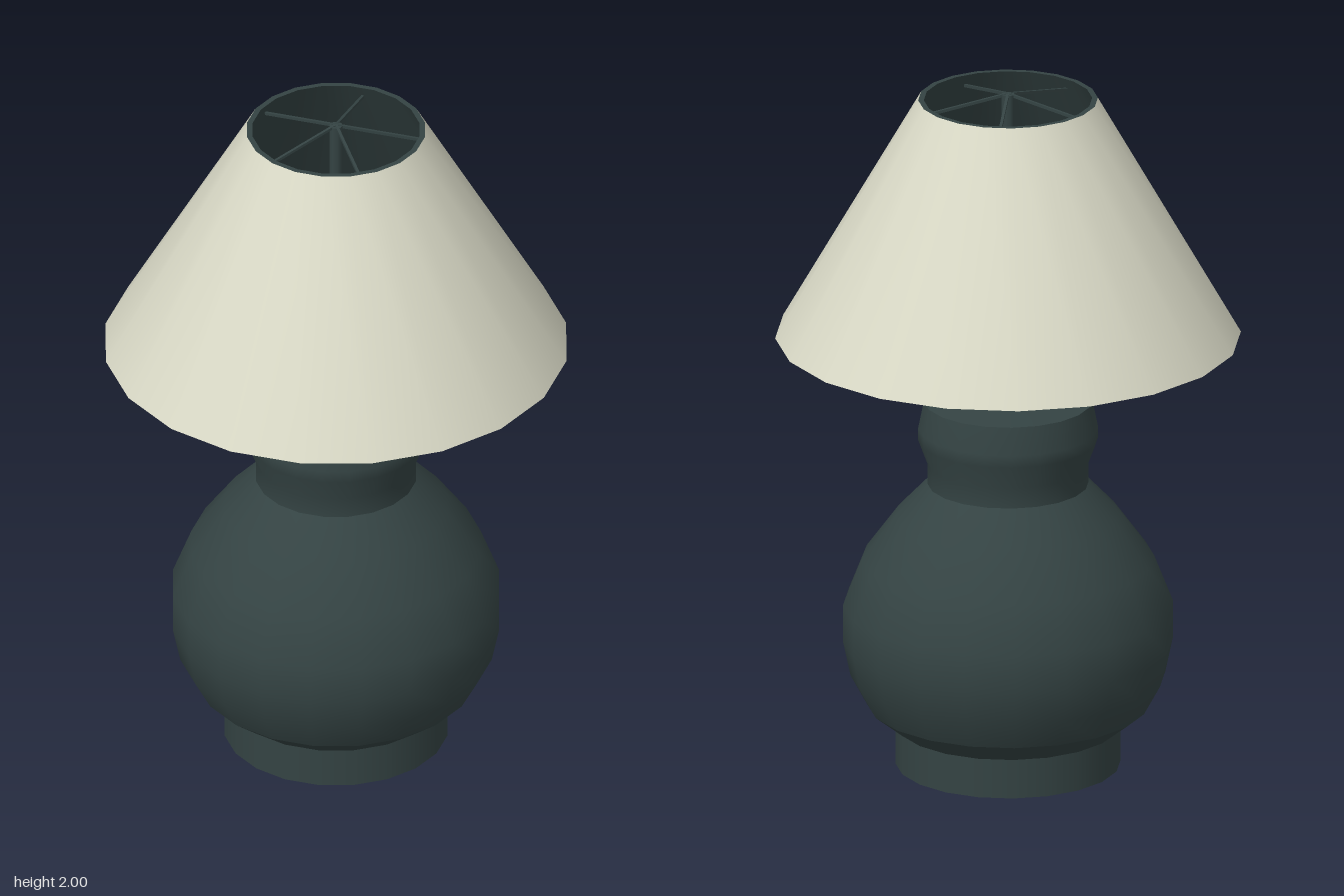
import * as THREE from 'three';

const SIDES = 20;

export function createModel() {
  const group = new THREE.Group();
  group.name = 'tableLamp';

  const dark = new THREE.MeshStandardMaterial({ color: 0x344343 });
  dark.name = 'dark slate';
  const cream = new THREE.MeshStandardMaterial({ color: 0xd9d9c6 });
  cream.name = 'cream fabric';

  // Each profile is turned separately, so the joins between them stay sharp
  function turned(name, material, profiles, sides = SIDES) {
    const part = new THREE.Group();
    part.name = name;
    profiles.forEach((profile, i) => {
      const points = profile.map(([r, y]) => new THREE.Vector2(r, y));
      const mesh = new THREE.Mesh(new THREE.LatheGeometry(points, sides), material);
      mesh.name = name + (i + 1);
      part.add(mesh);
    });
    group.add(part);
  }

  // Foot: underside and straight band
  turned('foot', dark, [
    [[0, 0], [0.318, 0]],
    [[0.318, 0], [0.318, 0.115]],
  ]);

  // Round belly above a chamfer
  turned('belly', dark, [
    [[0.318, 0.115], [0.398, 0.178]],
    [[0.398, 0.178], [0.445, 0.265], [0.466, 0.365], [0.466, 0.475],
      [0.413, 0.61], [0.318, 0.74], [0.228, 0.835]],
  ]);

  // Flared neck and its lid
  turned('neck', dark, [
    [[0.228, 0.835], [0.228, 0.895], [0.254, 0.965], [0.254, 1.0], [0.238, 1.08]],
    [[0.238, 1.08], [0, 1.096]],
  ]);

  // Small cone collar and stem
  turned('collar', dark, [[[0.064, 1.09], [0.02, 1.135]]], 10);
  const stem = new THREE.Mesh(new THREE.CylinderGeometry(0.019, 0.019, 0.9, 10), dark);
  stem.name = 'stem';
  stem.position.y = 1.545;
  group.add(stem);

  // Shade: cream outside, dark lining and rims
  turned('shade', cream, [[[0.658, 1.275], [0.254, 1.98]]]);
  turned('shadeLining', dark, [
    [[0.254, 1.98], [0.238, 1.98]],
    [[0.238, 1.98], [0.626, 1.275]],
    [[0.626, 1.275], [0.658, 1.275]],
  ]);

  // Five sloping spokes hold the shade on the stem
  for (let i = 0; i < 5; i++) {
    const geometry = new THREE.BoxGeometry(0.25, 0.008, 0.008);
    geometry.translate(0.125, 0, 0);
    geometry.rotateZ(-Math.atan(0.2));
    const spoke = new THREE.Mesh(geometry, dark);
    spoke.name = 'spoke' + (i + 1);
    spoke.position.y = 1.995;
    spoke.rotation.y = -THREE.MathUtils.degToRad(45 + 72 * i);
    group.add(spoke);
  }

  return group;
}
